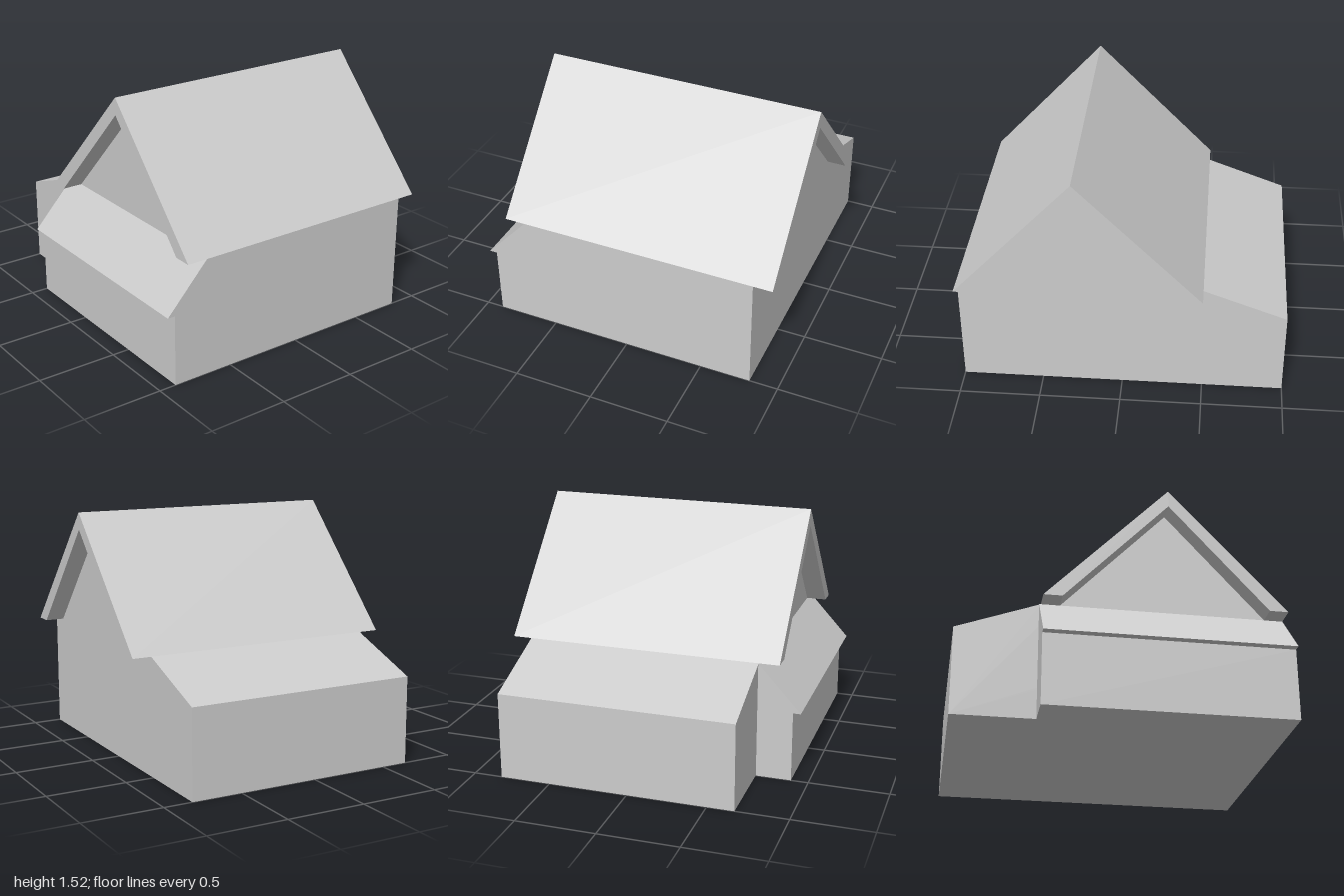
import * as THREE from 'three';

const plaster = new THREE.MeshStandardMaterial({ color: 0xcccccc });
plaster.name = 'light grey';

// Extrude a closed profile along z from 'from' to 'to'
function extrude(points, from, to) {
  const shape = new THREE.Shape(points.map(([a, b]) => new THREE.Vector2(a, b)));
  const geometry = new THREE.ExtrudeGeometry(shape, { depth: to - from, bevelEnabled: false });
  return geometry.translate(0, 0, from);
}

// Extrude a [z, y] profile along x from 'from' to 'to'
function extrudeAlongX(points, from, to) {
  return extrude(points, -to, -from).rotateY(-Math.PI / 2);
}

export function createModel() {
  const house = new THREE.Group();
  house.name = 'house';
  const add = (name, geometry) => {
    const mesh = new THREE.Mesh(geometry, plaster);
    mesh.name = name;
    house.add(mesh);
  };

  const eave = 0.738, ridgeZ = 0.275;
  const wallLeft = 0.82, wallRight = -0.67;

  // Main walls with gables, and the lower rear extension with its sloping roof
  add('mainWalls', extrudeAlongX([
    [-1, 0], [1, 0], [1, eave], [0.885, eave], [ridgeZ, 1.415],
    [-0.375, eave], [-0.49, eave], [-1, 0.55],
  ], wallRight, wallLeft));

  // Overhanging gable roof: an inverted V with flat feet
  add('gableRoof', extrudeAlongX([
    [1, eave], [ridgeZ, 1.523], [-0.49, eave],
    [-0.375, eave], [ridgeZ, 1.415], [0.885, eave],
  ], -0.8, 0.94));

  // Side lean-to with a small eave
  add('sideLeanTo', extrude([
    [wallRight, 0], [wallRight, eave], [-0.94, 0.445], [-0.892, 0.445], [-0.892, 0],
  ], -0.5, 1));

  return house;
}
